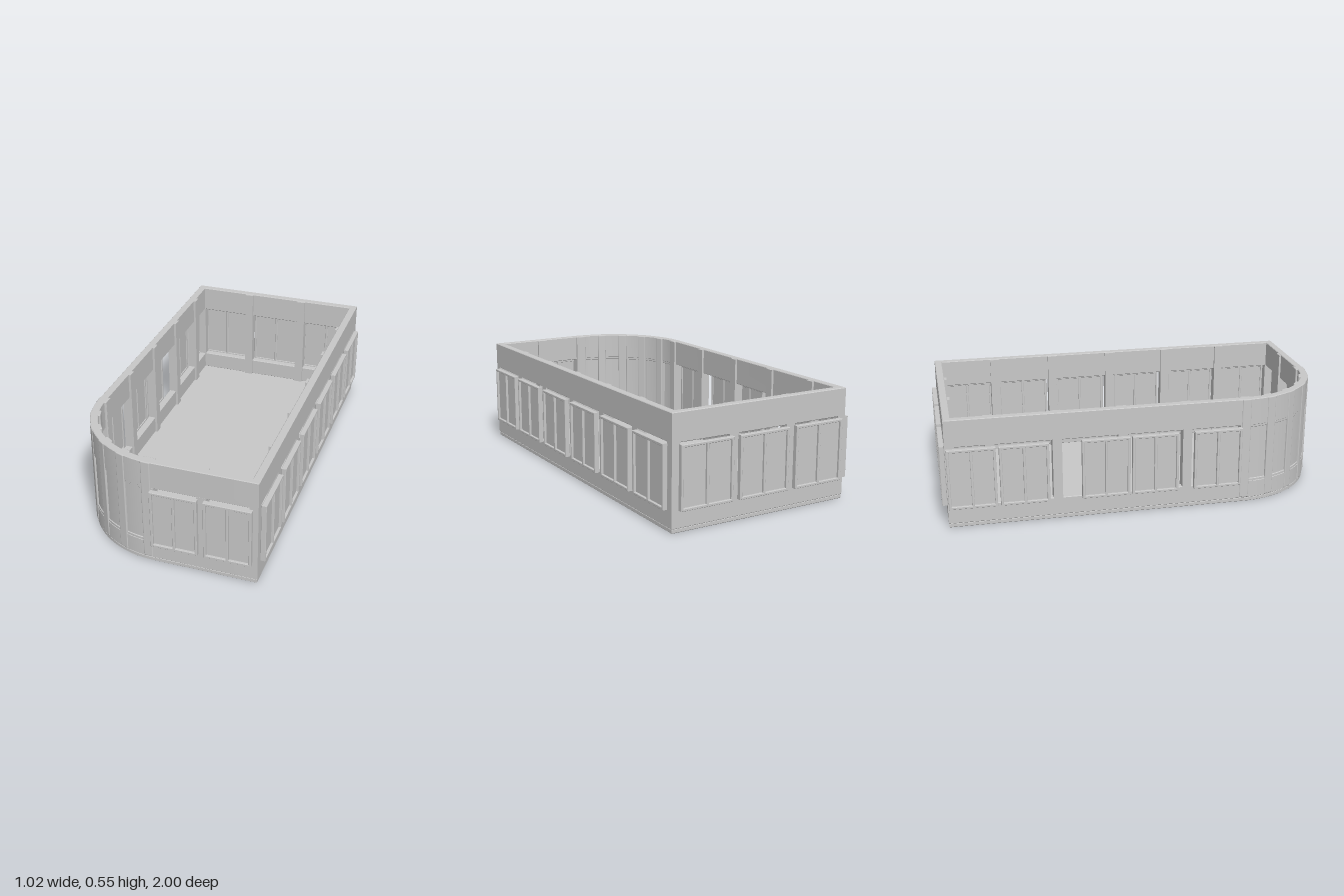
import * as THREE from 'three';
import { toCreasedNormals } from 'three/addons/utils/BufferGeometryUtils.js';
import { RoundedBoxGeometry } from 'three/addons/geometries/RoundedBoxGeometry.js';

const X0 = -0.488, X1 = 0.485, Z0 = -0.975, Z1 = 0.975; // plan limits
const CX = -0.03, CZ = 0.515, R = 0.458;                // rounded corner
const T = 0.038;                                        // wall thickness
const SILL = 0.112, HEAD = 0.415, TOP = 0.553;

// Plan outline with one rounded corner, drawn in (x, -z)
function outline(inset) {
  const p = [
    new THREE.Vector2(X0 + inset, -(Z0 + inset)),
    new THREE.Vector2(X1 - inset, -(Z0 + inset)),
    new THREE.Vector2(X1 - inset, -(Z1 - inset)),
  ];
  for (let i = 0; i <= 24; i++) {
    const a = (i / 24) * Math.PI / 2, r = R - inset;
    p.push(new THREE.Vector2(CX - r * Math.sin(a), -(CZ + r * Math.cos(a))));
  }
  return p;
}

// Upright extrusion of a plan shape, with a small chamfer
function raise(shape, y0, y1, bevel) {
  const g = new THREE.ExtrudeGeometry(shape, {
    depth: y1 - y0 - 2 * bevel, curveSegments: 24, bevelEnabled: true,
    bevelThickness: bevel, bevelSize: bevel, bevelOffset: -bevel, bevelSegments: 1,
  });
  g.rotateX(-Math.PI / 2).translate(0, y0 + bevel, 0);
  return toCreasedNormals(g, 0.5);
}

function wallBand(y0, y1) {
  const shape = new THREE.Shape(outline(0));
  shape.holes.push(new THREE.Path(outline(T).reverse()));
  return raise(shape, y0, y1, 0.003);
}

// Quarter ring following the rounded corner
function cornerArc(rOuter, rInner, y0, y1, bevel) {
  const s = new THREE.Shape();
  s.absarc(CX, -CZ, rOuter, Math.PI, Math.PI * 1.5, false);
  s.absarc(CX, -CZ, rInner, Math.PI * 1.5, Math.PI, true);
  s.closePath();
  return raise(s, y0, y1, bevel);
}

export function createModel() {
  const model = new THREE.Group();
  model.name = 'roomShell';
  const plaster = new THREE.MeshStandardMaterial({ color: 0xc8c8c8 });
  plaster.name = 'lightGrey';

  const add = (name, geo, parent = model) => {
    const m = new THREE.Mesh(geo, plaster);
    m.name = name;
    parent.add(m);
    return m;
  };
  const box = (name, w, h, d, x, y, z, parent) => {
    const m = add(name, new THREE.BoxGeometry(w, h, d), parent);
    m.position.set(x, y, z);
    return m;
  };

  // Floor and the two continuous wall bands
  add('floor', raise(new THREE.Shape(outline(0.002)), 0, 0.021, 0.003));
  add('lowerWall', wallBand(0.02, SILL));
  add('upperWall', wallBand(HEAD, TOP));

  // Square corner posts
  const midY = (SILL + HEAD) / 2, midH = HEAD - SILL + 0.006;
  for (const [x, z] of [[X0, Z0], [X1, Z0], [X1, Z1]]) {
    box('cornerPost', 0.042, midH, 0.042, x - Math.sign(x) * 0.021, midY, z - Math.sign(z) * 0.021);
  }

  // Window: raised frame, mullion and two recessed panes, facing +z
  function makeWindow(w) {
    const g = new THREE.Group();
    g.name = 'window';
    const h = 0.305, b = 0.013, d = 0.025, bevel = 0.002;
    const s = new THREE.Shape();
    s.moveTo(-w / 2, -h / 2).lineTo(w / 2, -h / 2).lineTo(w / 2, h / 2).lineTo(-w / 2, h / 2).closePath();
    const pw = (w - 3 * b) / 2;
    for (const side of [-1, 1]) {
      const c = side * (pw + b) / 2, hole = new THREE.Path();
      hole.moveTo(c - pw / 2, -h / 2 + b).lineTo(c - pw / 2, h / 2 - b)
        .lineTo(c + pw / 2, h / 2 - b).lineTo(c + pw / 2, -h / 2 + b).closePath();
      s.holes.push(hole);
      box('pane', pw + 0.004, h - 2 * b + 0.004, 0.008, c, 0, 0.009, g);
    }
    const frame = new THREE.ExtrudeGeometry(s, {
      depth: d - 2 * bevel, bevelThickness: bevel, bevelSize: bevel, bevelOffset: -bevel, bevelSegments: 1,
    });
    add('windowFrame', frame.translate(0, 0, bevel), g);
    return g;
  }

  // Each wall: rotation, outer face, window spans and post centres along the wall
  const walls = [
    { name: 'leftWall', turn: Math.PI / 2, face: X1,
      spans: [[-0.94, -0.67], [-0.63, -0.355], [-0.3, -0.03], [0.025, 0.295], [0.35, 0.62], [0.665, 0.935]],
      posts: [-0.65, -0.328, -0.002, 0.322, 0.643] },
    { name: 'rightWall', turn: -Math.PI / 2, face: X0,
      spans: [[-0.97, -0.735], [-0.72, -0.48], [-0.32, -0.08], [-0.07, 0.165], [0.245, 0.49]],
      posts: [-0.76, -0.437, -0.113, 0.213, 0.51] },
    { name: 'backWall', turn: Math.PI, face: Z0,
      spans: [[-0.455, -0.18], [-0.14, 0.135], [0.17, 0.45]], posts: [-0.163, 0.158] },
    { name: 'frontWall', turn: 0, face: Z1,
      spans: [[-0.03, 0.2], [0.23, 0.46]], posts: [-0.04, 0.215] },
  ];
  for (const { name, turn, face, spans, posts } of walls) {
    const group = new THREE.Group();
    group.name = name;
    model.add(group);
    const alongZ = Math.abs(Math.sin(turn)) > 0.5, out = Math.sign(face);
    for (const [a, b] of spans) {
      const w = makeWindow(b - a), c = (a + b) / 2;
      w.rotation.y = turn;
      w.position.set(alongZ ? face : c, 0.257, alongZ ? c : face);
      group.add(w);
    }
    for (const c of posts) {
      // Flush post between openings, with a full-height pilaster inside
      const m = face - out * T / 2, n = face - out * (T + 0.003), w = 0.046;
      if (alongZ) {
        box('post', T, midH, w, m, midY, c, group);
        box('pilaster', 0.018, TOP - 0.022, w, n, (TOP + 0.016) / 2, c, group);
      } else {
        box('post', w, midH, T, c, midY, m, group);
        box('pilaster', w, TOP - 0.022, 0.018, c, (TOP + 0.016) / 2, n, group);
      }
    }
  }

  // Rounded corner: recessed infill, sill and head rails, and upright ribs
  const corner = new THREE.Group();
  corner.name = 'roundedCorner';
  model.add(corner);
  add('cornerInfill', cornerArc(R - 0.006, R - 0.018, SILL - 0.005, HEAD + 0.005, 0.001), corner);
  add('sillRail', cornerArc(R - 0.002, R - T + 0.002, SILL - 0.004, 0.125, 0.003), corner);
  add('headRail', cornerArc(R - 0.002, R - T + 0.002, 0.403, HEAD + 0.004, 0.003), corner);
  for (let i = 0; i < 6; i++) {
    const a = THREE.MathUtils.degToRad(3 + i * 17.4), r = R - 0.023;
    const rib = add('rib', new RoundedBoxGeometry(0.047, TOP - 0.025, 0.052, 2, 0.005), corner);
    rib.position.set(CX - r * Math.sin(a), (TOP + 0.025) / 2, CZ + r * Math.cos(a));
    rib.rotation.y = -a;
  }
  return model;
}
